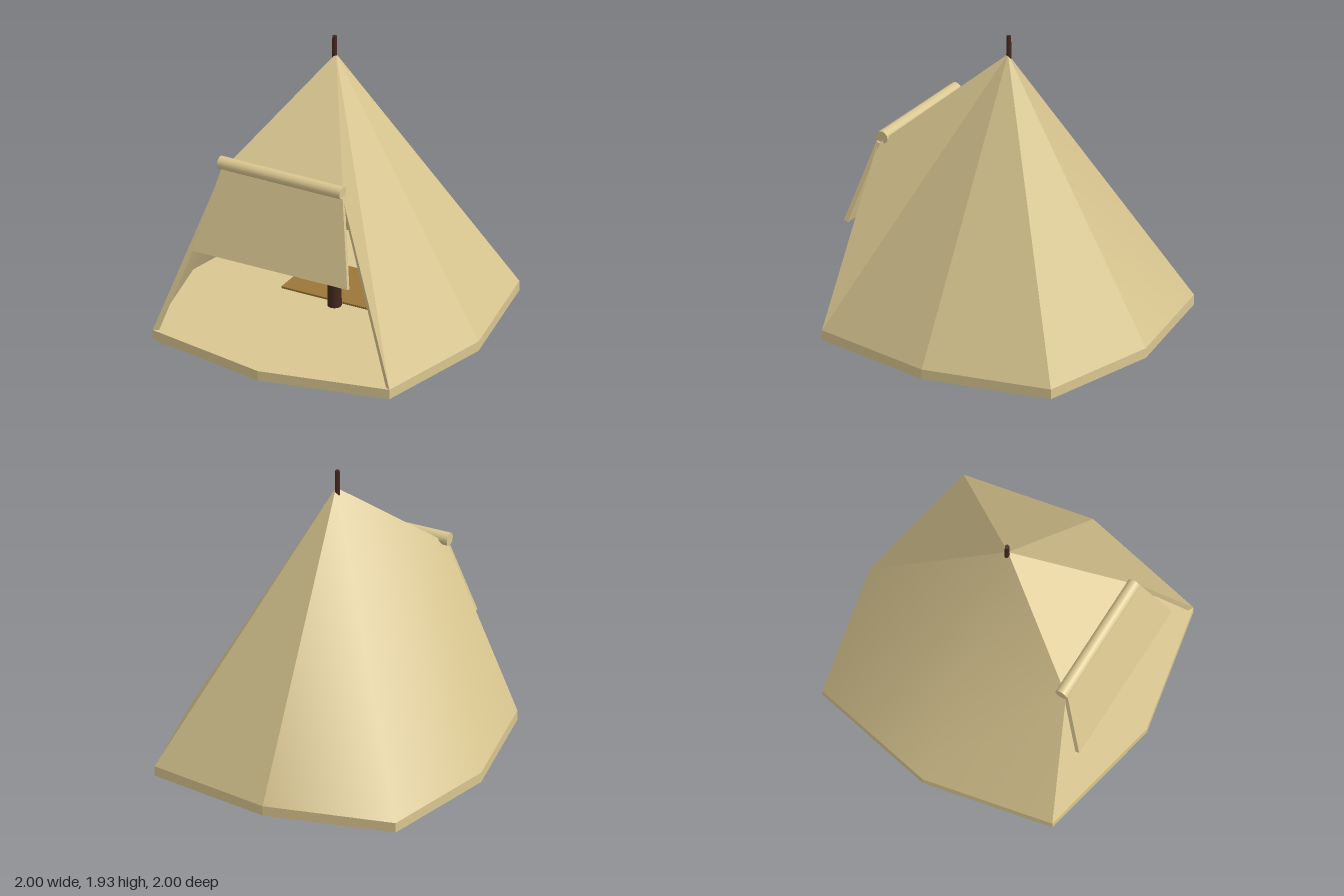
import * as THREE from 'three';

const CANVAS = 0xd9c690;
const BASE = 0.065, CORNER = 0.83;

const cloth = (flatShading) => new THREE.MeshStandardMaterial({ color: CANVAS, side: THREE.DoubleSide, flatShading });

function add(group, name, geometry, material) {
  const mesh = new THREE.Mesh(geometry, material);
  mesh.name = name;
  group.add(mesh);
  return mesh;
}

// surface from a few corner points and triangle indices
function surface(points, faces) {
  const g = new THREE.BufferGeometry();
  g.setAttribute('position', new THREE.Float32BufferAttribute(points.flat(), 3));
  g.setIndex(faces.flat());
  g.computeVertexNormals();
  return g;
}

// moves every vertex by a rule
function reshape(g, rule) {
  const p = g.attributes.position, v = new THREE.Vector3();
  for (let i = 0; i < p.count; i++) {
    rule(v.fromBufferAttribute(p, i));
    p.setXYZ(i, v.x, v.y, v.z);
  }
  g.computeVertexNormals();
  return g;
}

export function createModel() {
  const group = new THREE.Group();

  // eight-sided floor slab, with its diagonal corners pushed out
  const slab = reshape(new THREE.CylinderGeometry(1, 1, BASE, 8), (v) => {
    if (Math.abs(v.x) > 0.1 && Math.abs(v.z) > 0.1) {
      v.x = Math.sign(v.x) * CORNER;
      v.z = Math.sign(v.z) * CORNER;
    }
  });
  add(group, 'floor', slab, cloth(true)).position.y = BASE / 2;

  // walls: each side runs from the middle of the back round to the doorway
  const apex = [0, 1.81, 0];
  for (const s of [1, -1]) {
    const points = [
      apex, [0, BASE, -1], [s * CORNER, BASE, -CORNER], [s, BASE, 0],
      [s * CORNER, BASE, CORNER], [s * 0.425, 1.205, 0.68],
    ];
    const front = s > 0 ? [[0, 3, 4], [0, 4, 5]] : [[0, 5, 3], [3, 5, 4]];
    const back = s > 0 ? [[0, 1, 2], [0, 2, 3]] : [[0, 2, 1], [0, 3, 2]];
    const side = s > 0 ? 'left' : 'right';
    add(group, side + 'Wall', surface(points, [...back, ...front]), cloth(s > 0));

    // turned-in hem along the doorway
    const hem = [
      points[4], points[5],
      [s * 0.4, 1.205, 0.665], [s * 0.795, BASE, 0.81],
    ];
    add(group, side + 'DoorHem', surface(hem, [[0, 1, 2], [0, 2, 3]]), cloth(true));
  }

  // sloping panel above the door
  add(group, 'frontRoof', surface([apex, [-0.425, 1.205, 0.68], [0.425, 1.205, 0.68]], [[0, 1, 2]]), cloth(true));

  // rolled cloth over the door
  const roll = add(group, 'doorRoll', new THREE.CylinderGeometry(0.042, 0.042, 0.86, 16), cloth(false));
  roll.rotation.z = Math.PI / 2;
  roll.position.set(-0.02, 1.245, 0.66);

  // awning flap, widening and leaning out towards the bottom
  const flap = reshape(new THREE.BoxGeometry(2, 1, 0.028), (v) => {
    const t = 0.5 - v.y;
    v.x *= 0.425 + 0.12 * t;
    v.y = 1.215 - 0.525 * t + v.z * 0.3;
    v.z += 0.675 + 0.16 * t;
  });
  add(group, 'awning', flap, cloth(true));

  // tapered centre pole
  const pole = add(group, 'pole', new THREE.CylinderGeometry(0.014, 0.045, 1.87, 12),
    new THREE.MeshStandardMaterial({ color: 0x45281f }));
  pole.position.set(-0.01, 0.995, 0);

  // sleeping mat and pillow
  const bedding = new THREE.MeshStandardMaterial({ color: 0x9a7638, flatShading: true });
  const mat = add(group, 'sleepingMat', new THREE.BoxGeometry(1.05, 0.012, 0.44), bedding);
  mat.position.set(0.12, BASE + 0.006, -0.26);
  const pillow = reshape(new THREE.SphereGeometry(1, 8, 6), (v) => {
    v.x *= 0.19;
    v.z *= 0.2;
    v.y = Math.max(v.y, -0.8) * 0.105;
  });
  add(group, 'pillow', pillow, bedding).position.set(0.47, 0.16, -0.26);

  return group;
}
